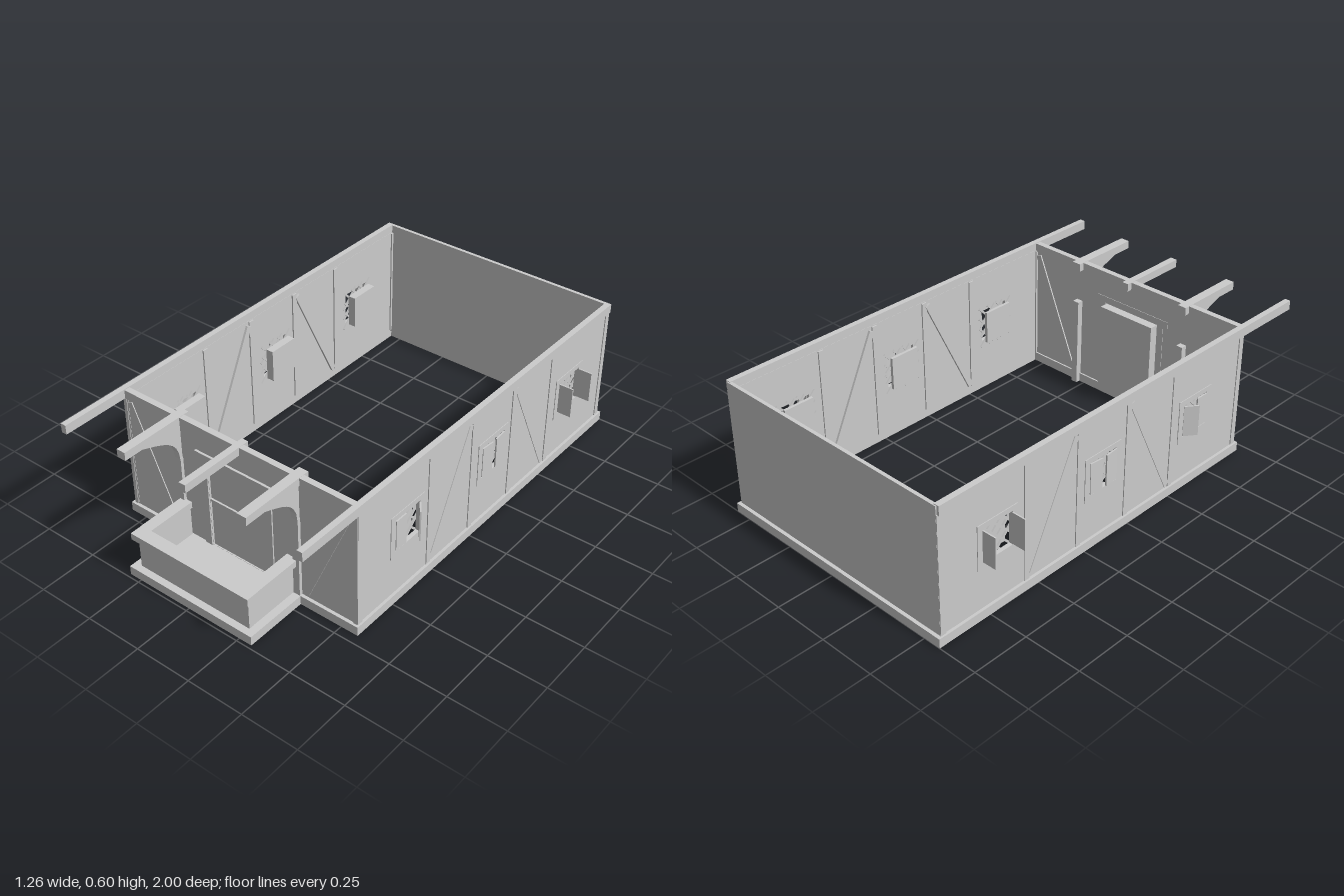
import * as THREE from 'three';

const material = new THREE.MeshStandardMaterial({ color: 0xcccccc, flatShading: true });

export function createModel() {
  const model = new THREE.Group();

  const add = (name, geometry, parent = model) => {
    const mesh = new THREE.Mesh(geometry, material);
    mesh.name = name;
    parent.add(mesh);
    return mesh;
  };
  // Box given by its limits on each axis
  const box = (name, x0, x1, y0, y1, z0, z1, parent = model) => {
    const mesh = add(name, new THREE.BoxGeometry(Math.abs(x1 - x0), y1 - y0, z1 - z0), parent);
    mesh.position.set((x0 + x1) / 2, (y0 + y1) / 2, (z0 + z1) / 2);
    return mesh;
  };
  // Sloping timber between two points of the front wall (x, y)
  const frontBar = (name, a, b, width, z0, z1) => {
    const dx = b[0] - a[0], dy = b[1] - a[1];
    const mesh = add(name, new THREE.BoxGeometry(width, Math.hypot(dx, dy), z1 - z0));
    mesh.position.set((a[0] + b[0]) / 2, (a[1] + b[1]) / 2, (z0 + z1) / 2);
    mesh.rotation.z = -Math.atan2(dx, dy);
  };
  // Sloping timber between two points of a side wall (z, y)
  const sideBar = (name, a, b, width, x, depth, parent = model) => {
    const dz = b[0] - a[0], dy = b[1] - a[1];
    const mesh = add(name, new THREE.BoxGeometry(depth, Math.hypot(dz, dy), width), parent);
    mesh.position.set(x, (a[1] + b[1]) / 2, (a[0] + b[0]) / 2);
    mesh.rotation.x = Math.atan2(dz, dy);
  };
  // Flat panel with rectangular holes, each [u0, u1, v0, v1]
  const panel = (u0, u1, v0, v1, depth, holes) => {
    const rect = (p, [a, b, c, d]) => p.moveTo(a, c).lineTo(b, c).lineTo(b, d).lineTo(a, d).closePath();
    const shape = rect(new THREE.Shape(), [u0, u1, v0, v1]);
    for (const h of holes) shape.holes.push(rect(new THREE.Path(), h));
    return new THREE.ExtrudeGeometry(shape, { depth, bevelEnabled: false });
  };

  // Window centres along z, with the angles of the two shutters
  const windows = [
    { z: 0.405, near: 0, far: 0.65 },
    { z: -0.145, near: 0.08, far: 0.08 },
    { z: -0.7, near: 1.57, far: 1.57 },
  ];
  const W = 0.073, Y0 = 0.24, Y1 = 0.386, YC = 0.313;

  for (const s of [-1, 1]) {
    // Side wall with window openings
    const holes = windows.map((w) => [-w.z - W, -w.z + W, Y0, Y1]);
    const wall = add('sideWall', panel(-0.7, 0.98, 0.03, 0.56, 0.015, holes));
    wall.rotation.y = Math.PI / 2;
    wall.position.x = s > 0 ? 0.55 : -0.565;

    // Sill, long roof beam, posts and braces
    box('sideSill', s * 0.55, s * 0.577, 0, 0.04, -1, 0.71);
    box('sideTopBeam', s * 0.551, s * 0.576, 0.555, 0.595, -0.98, 1);
    for (const z of [0.685, 0.268, -0.005, -0.278, -0.555, -0.972])
      box('sidePost', s * 0.544, s * 0.569, 0.04, 0.555, z - 0.0125, z + 0.0125);
    sideBar('sideBrace', [0.25, 0.05], [0.012, 0.54], 0.026, s * 0.554, 0.028);
    sideBar('sideBrace', [-0.53, 0.05], [-0.295, 0.54], 0.026, s * 0.554, 0.028);

    for (const w of windows) {
      const unit = new THREE.Group();
      unit.name = 'window';
      model.add(unit);
      // Thin surround
      const frame = add('windowSurround', panel(-w.z - 0.1, -w.z + 0.1, 0.215, 0.408, 0.004,
        [[-w.z - W, -w.z + W, Y0, Y1]]), unit);
      frame.rotation.y = Math.PI / 2;
      frame.position.x = s > 0 ? 0.564 : -0.568;
      // Diagonal lattice, crossing bars that run past the opening
      const h = 0.093;
      for (let i = -2; i <= 2; i++) {
        const c = i * 0.05, lo = Math.max(-h, c - h), hi = Math.min(h, c + h);
        for (const d of [-1, 1])
          sideBar('latticeBar', [w.z + d * lo, YC + c - lo], [w.z + d * hi, YC + c - hi],
            0.009, s * (0.54 + d * 0.003), 0.007, unit);
      }
      // Inner casing behind the lattice
      box('windowCasing', s * 0.533, s * (s > 0 ? 0.52 : 0.498), Y0, Y1, w.z - 0.07, w.z + 0.07, unit);
      // Pair of shutters, hinged at the sides of the opening
      for (const [d, angle] of [[-1, w.near], [1, w.far]]) {
        const hinge = new THREE.Group();
        hinge.name = 'shutter';
        hinge.position.set(s * 0.568, YC, w.z - d * W);
        hinge.rotation.y = s * d * angle;
        unit.add(hinge);
        box('shutterLeaf', -0.003, 0.003, -0.068, 0.068, Math.min(0, d * 0.062), Math.max(0, d * 0.062), hinge);
      }
    }
  }

  // Back wall and sill
  box('backWall', -0.565, 0.565, 0.03, 0.592, -0.985, -0.97);
  box('backSill', -0.565, 0.565, 0, 0.04, -1, -0.975);

  // Front wall with door opening
  const front = add('frontWall', panel(-0.555, 0.555, 0.03, 0.56, 0.014, [[-0.143, 0.14, 0.041, 0.443]]));
  front.position.z = 0.682;
  box('frontSill', -0.575, 0.575, 0, 0.04, 0.675, 0.71);
  box('frontTopRail', -0.56, 0.56, 0.555, 0.592, 0.678, 0.704);

  // Door, its frame and latch
  box('door', -0.141, 0.138, 0.041, 0.441, 0.645, 0.69);
  for (const x of [-0.16, 0.156])
    box('doorJamb', x - 0.016, x + 0.016, 0.04, 0.447, 0.68, 0.702);
  box('doorLintel', -0.198, 0.19, 0.446, 0.475, 0.68, 0.706);
  box('doorLatch', -0.14, -0.008, 0.258, 0.269, 0.688, 0.698);

  // Curved bracket profile, drawn in z and y
  const curve = new THREE.Shape();
  curve.moveTo(0.698, 0.4).lineTo(0.71, 0.4);
  curve.bezierCurveTo(0.715, 0.5, 0.79, 0.515, 0.9, 0.556);
  curve.lineTo(0.698, 0.556).closePath();
  const bracketGeometry = new THREE.ExtrudeGeometry(curve, { depth: 0.028, bevelEnabled: false, curveSegments: 8 });
  bracketGeometry.rotateY(-Math.PI / 2);

  for (const s of [-1, 1]) {
    // Front braces, porch posts and brackets
    frontBar('frontBrace', [s * 0.325, 0.05], [s * 0.535, 0.54], 0.027, 0.676, 0.7);
    const x = s > 0 ? 0.29 : -0.285;
    box('porchPost', x - 0.015, x + 0.015, 0, 0.405, 0.655, 0.71);
    add('porchBracket', bracketGeometry).position.x = x + 0.014;
  }

  // Joists over the porch
  for (const [x, w] of [[-0.285, 0.04], [0.016, 0.03], [0.292, 0.042]])
    box('porchJoist', x - w / 2, x + w / 2, 0.558, 0.593, 0.655, 0.98);

  // Porch floor, parapet and handrail
  box('porchFloor', -0.305, 0.308, 0, 0.04, 0.705, 0.985);
  box('parapetFront', -0.272, 0.275, 0.04, 0.176, 0.93, 0.955);
  box('handrailFront', -0.29, 0.292, 0.175, 0.204, 0.918, 0.975);
  for (const s of [-1, 1]) {
    box('parapetSide', s * 0.25, s * 0.274, 0.04, 0.176, 0.7, 0.94);
    box('handrailSide', s * 0.24, s * 0.291, 0.175, 0.204, 0.7, 0.92);
  }
  return model;
}
